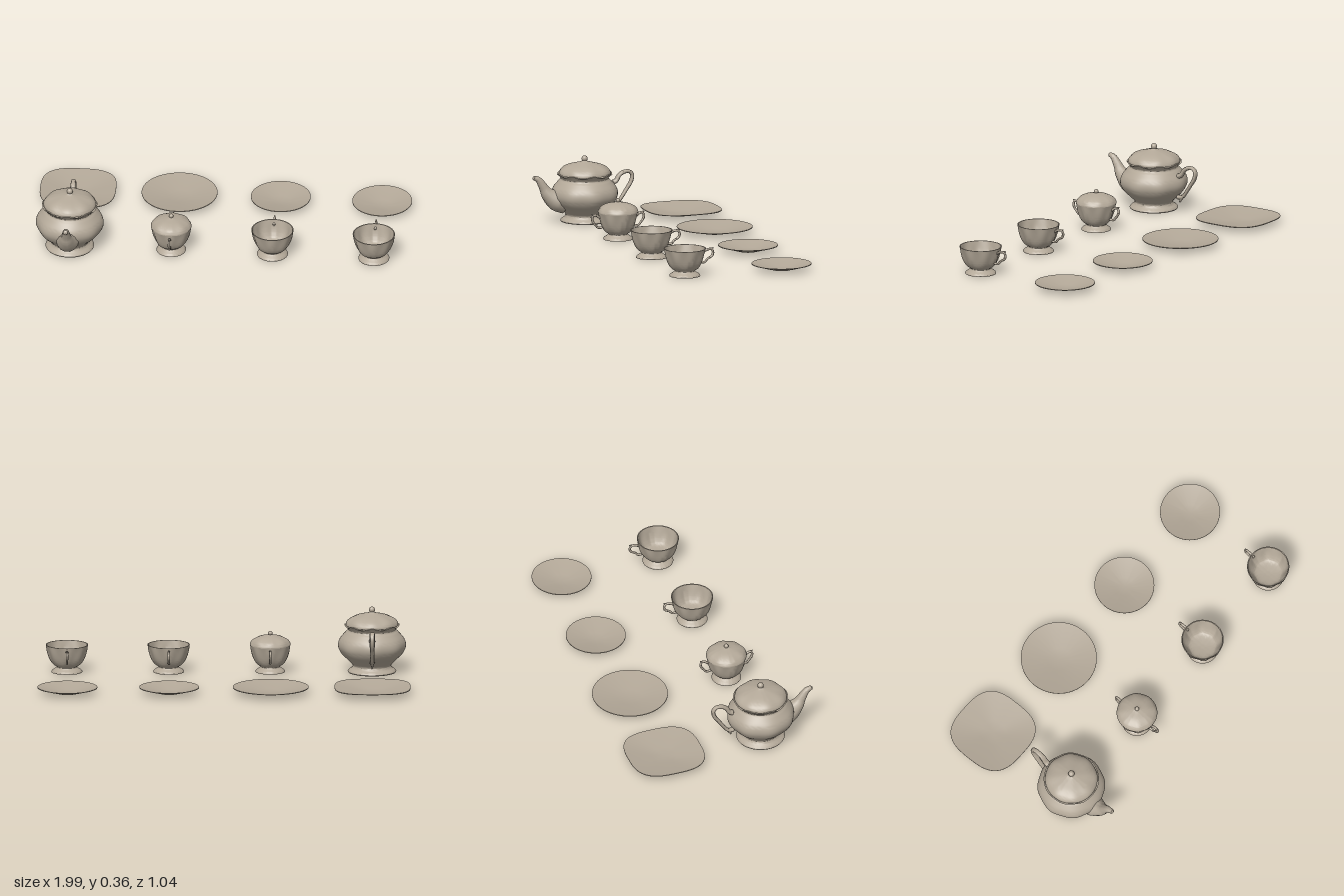
import * as THREE from 'three';
import { mergeVertices, toCreasedNormals } from 'three/addons/utils/BufferGeometryUtils.js';

const V2 = (p) => new THREE.Vector2(p[0], p[1]);
const china = new THREE.MeshStandardMaterial({ color: 0xb3a898 });
china.name = 'china';

// Weld seams, then smooth everything except sharp edges
function finish(geo) {
  geo.deleteAttribute('normal');
  geo.deleteAttribute('uv');
  return toCreasedNormals(mergeVertices(geo, 1e-5), 0.8);
}

function add(group, name, geo) {
  const mesh = new THREE.Mesh(geo, china);
  mesh.name = name;
  group.add(mesh);
  return mesh;
}

// Turned form; move(x, y, z, angle) may reshape each vertex
function turned(points, move) {
  const geo = new THREE.LatheGeometry(points, 64);
  const p = geo.attributes.position;
  for (let i = 0; move && i < p.count; i++) {
    const x = p.getX(i), y = p.getY(i), z = p.getZ(i);
    p.setXYZ(i, ...move(x, y, z, Math.atan2(z, x)));
  }
  return finish(geo);
}

// Gentle vertical lobes that fade out at heights lo and hi
function lobes(count, depth, lo, hi) {
  return (x, y, z, a) => {
    const t = THREE.MathUtils.clamp((y - lo) / (hi - lo), 0, 1);
    const s = 1 + depth * Math.cos(count * a) * Math.sin(Math.PI * t);
    return [x * s, y, z * s];
  };
}

// Tube in the yz plane with a varying radius and closed ends
function taperedTube(path, radii, widen = 1) {
  const curve = new THREE.CatmullRomCurve3(path.map(([z, y]) => new THREE.Vector3(0, y, z)));
  const N = 36, R = 14;
  const geo = new THREE.TubeGeometry(curve, N, 1, R);
  const p = geo.attributes.position, v = new THREE.Vector3();
  for (let i = 0; i <= N; i++) {
    const c = curve.getPointAt(i / N);
    const f = (i / N) * (radii.length - 1), k = Math.min(Math.floor(f), radii.length - 2);
    const r = i === 0 || i === N ? 0.0005 : THREE.MathUtils.lerp(radii[k], radii[k + 1], f - k);
    for (let j = 0; j <= R; j++) {
      const n = i * (R + 1) + j;
      v.fromBufferAttribute(p, n).sub(c).multiplyScalar(r);
      v.x *= widen;
      v.add(c);
      p.setXYZ(n, v.x, v.y, v.z);
    }
  }
  return finish(geo);
}

const smooth = (pts, n = 36) => new THREE.SplineCurve(pts.map(V2)).getPoints(n);

// Domed lid with a ball knob
function addLid(group, profile, knobY, knobR) {
  const dome = smooth(profile, 24);
  const [r0, y0] = profile[0];
  add(group, 'lid', turned([V2([0, y0]), ...dome], lobes(8, 0.025, y0, profile.at(-1)[1])));
  add(group, 'lidKnob', new THREE.SphereGeometry(knobR, 20, 14)).position.y = knobY;
}

function teapot() {
  const g = new THREE.Group();
  g.name = 'teapot';
  const outer = smooth([[0.13, 0.01], [0.126, 0.016], [0.108, 0.03], [0.103, 0.045], [0.125, 0.07],
    [0.16, 0.105], [0.179, 0.145], [0.172, 0.185], [0.142, 0.222], [0.128, 0.238], [0.148, 0.262]], 48);
  const wall = [V2([0, 0.006]), V2([0.128, 0.006]), ...outer, V2([0.142, 0.263]), V2([0.12, 0.245]), V2([0, 0.24])];
  const flute = lobes(8, 0.015, 0.03, 0.22);
  add(g, 'body', turned(wall, (x, y, z, a) => {
    const [fx, fy, fz] = flute(x, y, z, a);
    // wavy rim
    const wave = y > 0.255 ? 0.005 * Math.cos(8 * a) : 0;
    return [fx, fy + wave, fz];
  }));
  addLid(g, [[0.14, 0.262], [0.137, 0.276], [0.12, 0.294], [0.09, 0.309], [0.05, 0.32], [0.02, 0.328],
    [0.011, 0.336], [0, 0.34]], 0.344, 0.0165);
  add(g, 'spout', taperedTube([[0.11, 0.115], [0.165, 0.13], [0.21, 0.165], [0.238, 0.21], [0.262, 0.244], [0.294, 0.258]],
    [0.065, 0.06, 0.042, 0.026, 0.019, 0.011]));
  add(g, 'handle', taperedTube([[-0.15, 0.2], [-0.178, 0.212], [-0.195, 0.24], [-0.22, 0.256], [-0.252, 0.258],
    [-0.268, 0.24], [-0.263, 0.205], [-0.235, 0.16], [-0.212, 0.125], [-0.185, 0.092], [-0.145, 0.085]],
  [0.014, 0.012, 0.01, 0.011, 0.01, 0.009, 0.012], 1.25));
  add(g, 'handleSpur', taperedTube([[-0.19, 0.1], [-0.177, 0.08], [-0.168, 0.06]], [0.01, 0.009, 0.004]));
  return g;
}

// Footed bowl shared by the cups and the sugar bowl
function addBowl(group, rim) {
  const k = rim / 0.113;
  const outer = smooth([[0.083, 0.009], [0.078, 0.016], [0.058, 0.03], [0.056, 0.038], [0.074, 0.05],
    [0.09, 0.075], [0.102, 0.11], [0.113, 0.156]]);
  const inner = smooth([[0.108, 0.156], [0.097, 0.11], [0.084, 0.078], [0.064, 0.056], [0, 0.048]], 24);
  const pts = [V2([0, 0.006]), V2([0.082, 0.006]), ...outer, ...inner];
  pts.forEach((p) => { p.x *= k; });
  add(group, 'bowl', turned(pts, lobes(8, 0.035, 0.04, 0.156)));
}

// Ear-shaped handle with a small scroll on top
function addEar(group, side, reach) {
  const ear = new THREE.Group();
  ear.name = 'handle';
  add(ear, 'handleLoop', taperedTube([[-0.098, 0.122], [-0.114, 0.136], [-reach + 0.016, 0.143], [-reach + 0.004, 0.13],
    [-reach + 0.008, 0.108], [-0.128, 0.09], [-0.113, 0.074], [-0.085, 0.075]],
  [0.007, 0.007, 0.006, 0.007, 0.006, 0.006, 0.007]));
  add(ear, 'handleScroll', taperedTube([[-reach + 0.024, 0.142], [-reach + 0.01, 0.146], [-reach + 0.001, 0.149]],
    [0.006, 0.005, 0.003]));
  if (side > 0) ear.rotation.y = Math.PI;
  group.add(ear);
}

function sugarBowl() {
  const g = new THREE.Group();
  g.name = 'sugarBowl';
  addBowl(g, 0.108);
  addEar(g, -1, 0.15);
  addEar(g, 1, 0.15);
  addLid(g, [[0.109, 0.154], [0.106, 0.164], [0.092, 0.181], [0.06, 0.197], [0.02, 0.206], [0.008, 0.21], [0, 0.212]],
    0.216, 0.012);
  return g;
}

function cup() {
  const g = new THREE.Group();
  g.name = 'cup';
  addBowl(g, 0.113);
  addEar(g, -1, 0.163);
  return g;
}

// Shallow dish; squareness above 2 turns the round outline into a soft square
function dish(name, radius, squareness = 2) {
  const g = new THREE.Group();
  g.name = name;
  const base = radius * 0.3;
  const pts = [[0, 0.005], [base, 0.005], [radius, 0.036], [radius, 0.04], [radius * 0.97, 0.039],
    [base * 1.05, 0.014], [0, 0.012]].map(V2);
  add(g, 'dish', turned(pts, (x, y, z, a) => {
    const n = squareness;
    const s = (Math.abs(Math.cos(a)) ** n + Math.abs(Math.sin(a)) ** n) ** (-1 / n);
    return [x * s, y, z * s];
  }));
  return g;
}

export function createModel() {
  const model = new THREE.Group();
  model.name = 'teaSet';
  const place = (part, x, z) => { part.position.set(x, 0, z); model.add(part); };
  // Front row of vessels
  place(teapot(), -0.797, 0.222);
  place(sugarBowl(), -0.253, 0.222);
  place(cup(), 0.29, 0.222);
  place(cup(), 0.834, 0.222);
  // Back row of plates and saucers
  place(dish('squarePlate', 0.203, 3), -0.797, -0.325);
  place(dish('roundPlate', 0.203), -0.253, -0.325);
  place(dish('saucer', 0.16), 0.29, -0.325);
  place(dish('saucer', 0.16), 0.834, -0.325);
  // Rest on the ground
  model.children.forEach((c) => { c.position.y = -0.005; });
  return model;
}
